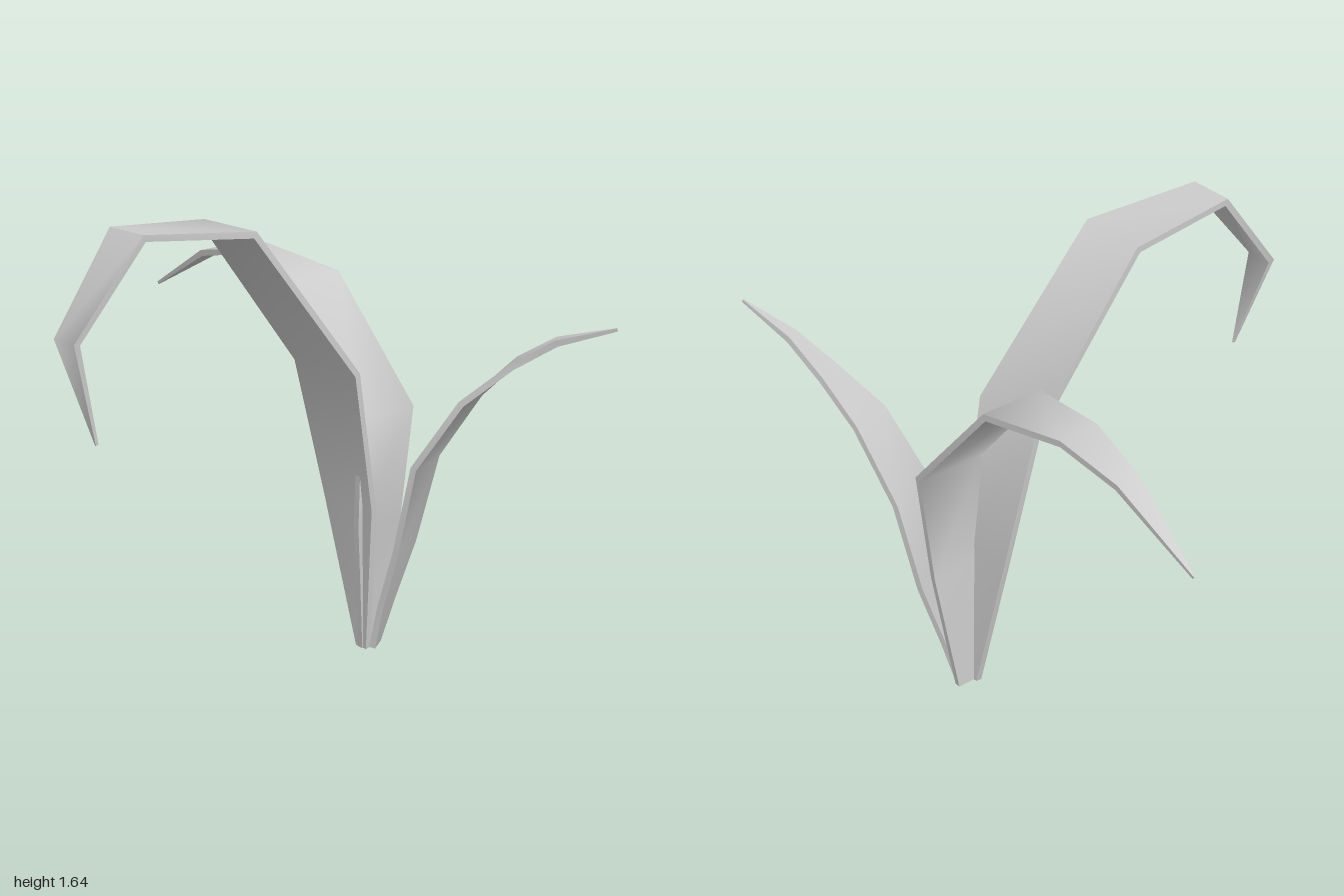
import * as THREE from 'three';
import { toCreasedNormals } from 'three/addons/utils/BufferGeometryUtils.js';

const THICKNESS = 0.022;
const v = (p) => new THREE.Vector3(...p);

// A thin solid blade swept through rows of [one edge point, other edge point]
function leaf(name, rows, material) {
  const edges = rows.map(([l, r]) => [v(l), v(r)]);
  const mids = edges.map(([l, r]) => l.clone().add(r).multiplyScalar(0.5));
  const last = rows.length - 1;
  const dir = (i) => mids[i + 1].clone().sub(mids[i]).normalize();
  const pos = [], index = [];

  edges.forEach(([l, r], i) => {
    const before = dir(Math.max(i - 1, 0));
    const after = dir(Math.min(i, last - 1));
    const tangent = before.clone().add(after).normalize();
    const mitre = 1 / Math.max(tangent.dot(after), 0.5);
    const n = r.clone().sub(l).cross(tangent).normalize();
    // taper the thickness slightly at the tip
    n.multiplyScalar(THICKNESS / 2 * mitre * (i === last ? 0.5 : 1));
    for (const [p, s] of [[l, 1], [r, 1], [r, -1], [l, -1]]) {
      pos.push(...p.clone().addScaledVector(n, s).toArray());
    }
    if (i === last) return;
    for (let j = 0; j < 4; j++) {
      const a = i * 4 + j, b = i * 4 + (j + 1) % 4;
      index.push(a, b, b + 4, a, b + 4, a + 4);
    }
  });
  // end caps
  const e = last * 4;
  index.push(0, 2, 1, 0, 3, 2, e, e + 1, e + 2, e, e + 2, e + 3);

  const g = new THREE.BufferGeometry();
  g.setAttribute('position', new THREE.Float32BufferAttribute(pos, 3));
  g.setIndex(index);
  const mesh = new THREE.Mesh(toCreasedNormals(g, 1.0), material);
  mesh.name = name;
  return mesh;
}

export function createModel() {
  const group = new THREE.Group();
  group.name = 'plant';
  const material = new THREE.MeshStandardMaterial({ color: 0xcccccc, side: THREE.DoubleSide });

  // tall leaf drooping forward: [x min, x max, y, z]
  const front = [
    [0.14, 0.19, 0, -0.455], [0.02, 0.255, 0.55, -0.405], [-0.03, 0.27, 1.06, -0.3],
    [-0.035, 0.22, 1.595, 0.12], [-0.02, 0.145, 1.63, 0.515], [-0.005, 0.097, 1.32, 0.75],
    [0.088, 0.092, 0.98, 0.675],
  ].map(([a, b, y, z]) => [[a, y, z], [b, y, z]]);

  // leaf folding over to the side: [x, y, z centre, half width]
  const side = [
    [0.165, 0, -0.485, 0.045], [0.195, 0.48, -0.485, 0.105], [0.225, 0.88, -0.483, 0.127],
    [-0.135, 1.295, -0.48, 0.112], [-0.46, 1.345, -0.478, 0.073], [-0.69, 1.295, -0.48, 0.043],
    [-0.995, 1.12, -0.483, 0.002],
  ].map(([x, y, z, w]) => [[x, y, z - w], [x, y, z + w]]);

  // upright leaf arching outward and slightly back: [y, back edge x z, front edge x z]
  const arching = [
    [0.01, 0.175, -0.52, 0.215, -0.45], [0.17, 0.21, -0.55, 0.25, -0.45],
    [0.4, 0.262, -0.6, 0.325, -0.445], [0.725, 0.33, -0.635, 0.395, -0.45],
    [0.975, 0.49, -0.67, 0.54, -0.52], [1.115, 0.625, -0.705, 0.675, -0.615],
    [1.21, 0.775, -0.727, 0.805, -0.682], [1.28, 0.989, -0.765, 0.991, -0.761],
  ].map(([y, ax, az, bx, bz]) => [[ax, y, az], [bx, y, bz]]);

  group.add(
    leaf('frontLeaf', front, material),
    leaf('foldedSideLeaf', side, material),
    leaf('archingLeaf', arching, material),
  );
  return group;
}
